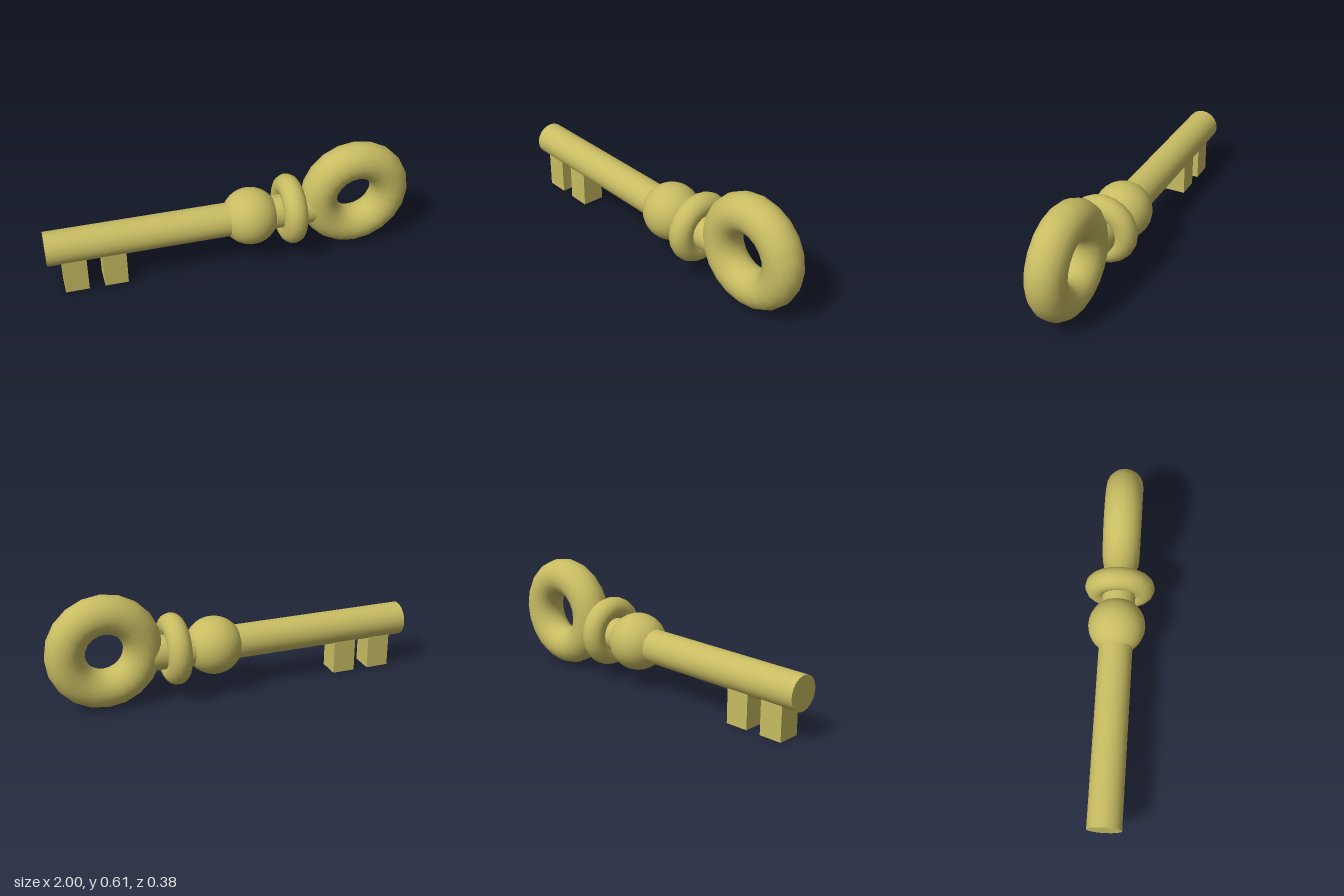
import * as THREE from 'three';

export function createModel() {
  const key = new THREE.Group();
  key.name = 'key';
  const brass = new THREE.MeshStandardMaterial({ color: 0xc8bc62 });

  const add = (name, geometry, x, y, z) => {
    const mesh = new THREE.Mesh(geometry, brass);
    mesh.name = name;
    mesh.position.set(x, y, z);
    key.add(mesh);
    return mesh;
  };

  // Shaft along x, ending inside the ring handle
  const shaftStart = -1, shaftEnd = 0.48;
  add('shaft',
    new THREE.CylinderGeometry(0.091, 0.091, shaftEnd - shaftStart, 32).rotateZ(Math.PI / 2),
    (shaftStart + shaftEnd) / 2, 0.26, -0.003);

  // Round knob and collar threaded on the shaft
  add('knob', new THREE.SphereGeometry(0.155, 32, 20), 0.1, 0.26, -0.004);
  add('collar', new THREE.TorusGeometry(0.129, 0.0625, 20, 20).rotateY(Math.PI / 2), 0.32, 0.27, 0.001);

  // Ring handle
  add('ringHandle', new THREE.TorusGeometry(0.204, 0.102, 20, 20), 0.69, 0.31, -0.0025);

  // Two square teeth below the tip
  const toothBottom = 0.005, toothTop = 0.21;
  ['outerTooth', 'innerTooth'].forEach((name, i) => {
    add(name, new THREE.BoxGeometry(0.126, toothTop - toothBottom, 0.126),
      -0.861 + i * 0.209, (toothBottom + toothTop) / 2, 0.002);
  });

  return key;
}
